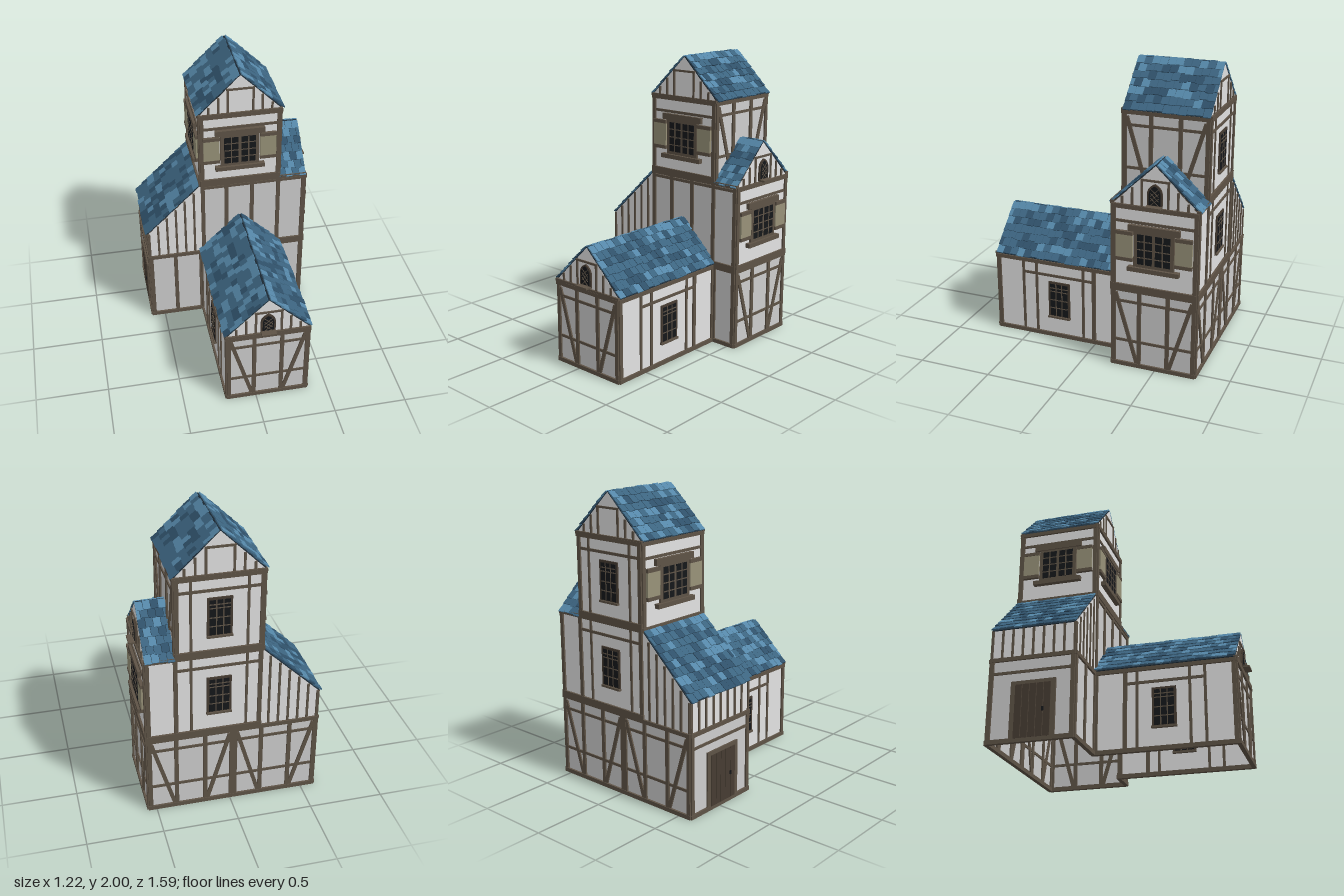
import * as THREE from 'three';
import { mergeGeometries } from 'three/addons/utils/BufferGeometryUtils.js';

const mat = (name, color, side = THREE.FrontSide) => {
  const m = new THREE.MeshStandardMaterial({ color, side });
  m.name = name;
  return m;
};

export function createModel() {
  const root = new THREE.Group();
  root.name = 'timberHouse';
  const plaster = mat('lightPlaster', 0xe2e2e2, THREE.DoubleSide);
  const grey = mat('greyPlaster', 0xcdcdcd, THREE.DoubleSide);
  const timber = mat('timber', 0x5e5346);
  const darkWood = mat('darkWood', 0x463c32);
  const shutterPaint = mat('shutterPaint', 0x989279);
  const glass = mat('darkGlass', 0x15171a);
  const slate = [mat('slateBlue', 0x3c6480), mat('slateLight', 0x5587a8), mat('slateDark', 0x2f5069)];
  const underlay = mat('roofUnderlay', 0x1f2f3c);

  let seed = 7;
  const rnd = () => (seed = (seed * 16807) % 2147483647) / 2147483647;

  // A face is a flat frame: x runs right along the wall, y up, z outward
  const face = (name, x, z, turn) => {
    const g = new THREE.Group();
    g.name = name;
    g.position.set(x, 0, z);
    g.rotation.y = turn * Math.PI / 2;
    root.add(g);
    return g;
  };
  const box = (g, name, m, u, y, w, h, d, z = 0, rot = 0) => {
    const b = new THREE.Mesh(new THREE.BoxGeometry(w, h, d), m);
    b.name = name;
    b.position.set(u, y, z);
    b.rotation.z = rot;
    g.add(b);
  };
  const beam = (g, u0, y0, u1, y1, w = 0.02, d = 0.016) =>
    box(g, 'beam', timber, (u0 + u1) / 2, (y0 + y1) / 2, Math.hypot(u1 - u0, y1 - y0), w, d, 0, Math.atan2(y1 - y0, u1 - u0));
  const poly = (g, name, m, pts) => {
    const p = new THREE.Mesh(new THREE.ShapeGeometry(new THREE.Shape(pts.map(q => new THREE.Vector2(...q)))), m);
    p.name = name;
    g.add(p);
  };

  // Plaster panel with corner posts, sill beam and top plate
  const wall = (g, m, u0, u1, y0, y1, posts = []) => {
    poly(g, 'wallPanel', m, [[u0, y0], [u1, y0], [u1, y1], [u0, y1]]);
    for (const u of [u0 + 0.012, u1 - 0.012, ...posts]) beam(g, u, y0, u, y1, 0.027, 0.022);
    beam(g, u0 - 0.005, y0 + 0.014, u1 + 0.005, y0 + 0.014, 0.028, 0.028);
    beam(g, u0 - 0.005, y1 - 0.012, u1 + 0.005, y1 - 0.012, 0.026, 0.028);
  };
  // Panel with two posts, two rails and outward leaning braces
  const braced = (g, u0, u1, y0, y1) => {
    const w = u1 - u0, h = y1 - y0, a = u0 + w * 0.33, b = u0 + w * 0.67;
    wall(g, grey, u0, u1, y0, y1, [a, b]);
    for (const t of [0.33, 0.83]) beam(g, u0, y0 + h * t, u1, y0 + h * t, 0.018);
    beam(g, u0 + 0.025, y1 - 0.04, a - 0.015, y0 + 0.03, 0.026, 0.02);
    beam(g, u1 - 0.025, y1 - 0.04, b + 0.015, y0 + 0.03, 0.026, 0.02);
  };
  // Triangular gable with studs and a collar beam
  const gable = (g, u0, u1, y0, peak) => {
    const c = (u0 + u1) / 2, half = (u1 - u0) / 2, h = peak - y0;
    poly(g, 'gablePanel', plaster, [[u0, y0], [u1, y0], [c, peak]]);
    for (const s of [-1, 1]) for (const t of [0.3, 0.52, 0.75])
      beam(g, c + s * half * t, y0, c + s * half * t, y0 + h * (1 - t) - 0.005, 0.015);
    beam(g, c - half * 0.33, y0 + h * 0.66, c + half * 0.33, y0 + h * 0.66, 0.014);
    beam(g, u0, y0 + 0.006, u1, y0 + 0.006, 0.018, 0.026);
  };
  // Narrow sash window with a small-paned transom
  const sash = (g, u, y) => {
    box(g, 'windowFrame', darkWood, u, y, 0.16, 0.27, 0.02);
    box(g, 'windowGlass', glass, u, y, 0.13, 0.24, 0.024);
    for (const s of [-1, 1]) box(g, 'glazingBar', timber, u + s * 0.022, y, 0.007, 0.24, 0.028);
    for (const k of [-0.06, 0, 0.065, 0.09]) box(g, 'glazingBar', timber, u, y + k, 0.13, 0.007, 0.028);
    box(g, 'windowSill', timber, u, y - 0.132, 0.165, 0.014, 0.04);
  };
  // Wide casement window with lintel, sill and open shutters
  const casement = (g, u, y) => {
    box(g, 'windowFrame', timber, u, y, 0.27, 0.26, 0.036);
    for (const s of [-1, 1]) {
      box(g, 'windowGlass', glass, u + s * 0.06, y, 0.1, 0.205, 0.04);
      box(g, 'glazingBar', timber, u + s * 0.06, y, 0.009, 0.205, 0.044);
      for (const k of [-0.055, 0, 0.055]) box(g, 'glazingBar', timber, u + s * 0.06, y + k, 0.1, 0.007, 0.044);
      box(g, 'shutter', shutterPaint, u + s * 0.198, y + 0.01, 0.112, 0.155, 0.016, 0.014);
      for (const k of [-1, 1]) box(g, 'shutterRail', timber, u + s * 0.198, y + 0.01 + k * 0.09, 0.115, 0.024, 0.022, 0.014);
    }
    box(g, 'lintel', timber, u, y + 0.14, 0.345, 0.042, 0.05);
    box(g, 'windowSill', timber, u, y - 0.138, 0.345, 0.03, 0.07);
  };
  // Pointed attic window with lattice and a ledge
  const arched = (g, u, y) => {
    const make = (name, m, w, h, d) => {
      const s = new THREE.Shape();
      s.moveTo(-w, 0).lineTo(w, 0).lineTo(w, h * 0.55);
      s.quadraticCurveTo(w, h * 0.85, 0, h).quadraticCurveTo(-w, h * 0.85, -w, h * 0.55);
      const p = new THREE.Mesh(new THREE.ExtrudeGeometry(s, { depth: d, bevelEnabled: false, curveSegments: 5 }), m);
      p.name = name;
      p.position.set(u, y + (0.075 - h / 2), -0.004);
      g.add(p);
    };
    make('archFrame', darkWood, 0.05, 0.15, 0.016);
    make('archGlass', glass, 0.038, 0.125, 0.019);
    for (const s of [-1, 1]) for (const k of [0.035, 0.065, 0.095])
      box(g, 'lattice', timber, u, y + k, 0.075, 0.004, 0.004, 0.016, s * 0.75);
    box(g, 'ledge', timber, u, y + 0.003, 0.1, 0.012, 0.055, 0.027);
  };

  // Front faces
  const mainFront = face('mainFront', 0, -0.2, 0);
  wall(mainFront, grey, -0.59, -0.2, 0, 0.57, [-0.4]);
  wall(mainFront, grey, 0.36, 0.55, 0, 0.57);
  wall(mainFront, grey, -0.2, 0.55, 0.57, 1.165, [-0.02, 0.165, 0.355]);
  wall(mainFront, plaster, -0.2, 0.36, 1.165, 1.705);
  beam(mainFront, -0.2, 1.6, 0.36, 1.6, 0.018);
  beam(mainFront, -0.2, 1.125, 0.55, 1.125, 0.02, 0.022);
  casement(mainFront, 0.075, 1.425);
  gable(mainFront, -0.21, 0.37, 1.7, 1.985);
  const wingFront = face('wingFront', 0, 0.74, 0);
  braced(wingFront, -0.2, 0.36, 0, 0.57);
  gable(wingFront, -0.21, 0.37, 0.57, 0.855);
  arched(wingFront, 0.075, 0.594);

  // Right faces
  const mainRight = face('mainRight', 0.55, 0, 1);
  braced(mainRight, 0.2, 0.77, 0, 0.57);
  wall(mainRight, plaster, 0.2, 0.77, 0.57, 1.145);
  beam(mainRight, 0.2, 1.035, 0.77, 1.035, 0.018);
  casement(mainRight, 0.485, 0.86);
  gable(mainRight, 0.195, 0.775, 1.135, 1.42);
  arched(mainRight, 0.485, 1.156);
  braced(face('towerRight', 0.36, 0, 1), 0.2, 0.77, 1.14, 1.705);

  // Wing sides, mirrored
  for (const s of [1, -1]) {
    const g = face(s > 0 ? 'wingRight' : 'wingLeft', s > 0 ? 0.36 : -0.2, 0, s);
    wall(g, plaster, Math.min(-0.74 * s, 0.2 * s), Math.max(-0.74 * s, 0.2 * s), 0, 0.57, [-0.01 * s]);
    for (const u of [-0.54, -0.44, -0.09]) beam(g, u * s, 0, u * s, 0.56, 0.018);
    beam(g, -0.54 * s, 0.465, -0.01 * s, 0.465, 0.018);
    sash(g, -0.27 * s, 0.285);
  }

  // Back faces
  const back = face('back', 0, -0.77, 2);
  braced(back, -0.55, 0.02, 0, 0.57);
  braced(back, 0.02, 0.59, 0, 0.57);
  wall(back, plaster, -0.55, 0.2, 0.57, 1.165, [-0.36]);
  wall(back, plaster, -0.36, 0.2, 1.165, 1.705);
  for (const [y0, y1] of [[0.57, 1.165], [1.165, 1.705]]) {
    for (const u of [-0.26, 0.1]) beam(back, u, y0, u, y1, 0.016);
    beam(back, -0.36, y1 - 0.1, 0.2, y1 - 0.1, 0.018);
    sash(back, -0.08, (y0 + y1) / 2 - 0.015);
  }
  gable(back, -0.37, 0.21, 1.7, 1.985);

  // Left faces
  const towerLeft = face('towerLeft', -0.2, 0, -1);
  wall(towerLeft, plaster, -0.77, -0.2, 1.14, 1.705);
  beam(towerLeft, -0.77, 1.6, -0.2, 1.6, 0.018);
  casement(towerLeft, -0.485, 1.425);
  const leanLeft = face('leanToLeft', -0.59, 0, -1);
  wall(leanLeft, grey, -0.77, -0.2, 0, 0.57);
  beam(leanLeft, -0.77, 0.465, -0.2, 0.465, 0.018);
  poly(leanLeft, 'upperPanel', plaster, [[-0.77, 0.57], [-0.2, 0.57], [-0.2, 0.77], [-0.77, 0.77]]);
  for (let i = 0; i < 9; i++) beam(leanLeft, -0.765 + i * 0.07, 0.57, -0.765 + i * 0.07, 0.77, 0.015);
  // Plank door
  box(leanLeft, 'doorFrame', timber, -0.47, 0.205, 0.3, 0.39, 0.024);
  for (let i = 0; i < 5; i++) box(leanLeft, 'doorPlank', darkWood, -0.566 + i * 0.048, 0.2, 0.044, 0.35, 0.032);
  box(leanLeft, 'doorHandle', glass, -0.4, 0.2, 0.014, 0.025, 0.045);

  // Lean-to sloping ends, front and back
  for (const [g, s] of [[mainFront, 1], [back, -1]]) {
    poly(g, 'leanToPanel', plaster, [[-0.59 * s, 0.57], [-0.2 * s, 0.57], [-0.2 * s, 1.145], [-0.59 * s, 0.77]]);
    for (let i = 0; i < 6; i++) {
      const x = -0.583 + i * 0.066;
      beam(g, x * s, 0.57, x * s, 0.765 + (x + 0.59) * 0.96, 0.015);
    }
  }

  // Shingled slope from eave corners a, b up to the ridge point above a
  const slope = (name, a, b, r, rows) => {
    const A = new THREE.Vector3(...a), X = new THREE.Vector3(...b).sub(A), Y = new THREE.Vector3(...r).sub(A);
    const L = X.length(), H = Y.length();
    X.normalize();
    Y.normalize();
    const g = new THREE.Group();
    g.name = name;
    g.applyMatrix4(new THREE.Matrix4().makeBasis(X, Y, X.clone().cross(Y)).setPosition(A));
    box(g, 'roofBoard', underlay, L / 2, H / 2, L - 0.01, H, 0.006);
    const sets = [[], [], []], n = Math.round(L / 0.052), step = H / rows;
    for (let i = 0; i < rows; i++) for (let j = 0; j < n + (i % 2); j++) {
      const w = L / n, odd = i % 2;
      const u0 = Math.max(0, (j - odd / 2) * w), u1 = Math.min(L, (j + 1 - odd / 2) * w);
      const h = step * (i === rows - 1 ? 1 : 1.15 + rnd() * 0.15), drop = (rnd() - 0.3) * 0.012;
      const t = new THREE.BoxGeometry(u1 - u0 - 0.003, h, 0.008);
      t.rotateX(-0.1);
      t.translate((u0 + u1) / 2, i * step + h / 2 - drop, 0.009 + rnd() * 0.003);
      const k = rnd() + (i === rows - 1 ? 0.2 : 0);
      sets[k > 0.78 ? 1 : k < 0.25 ? 2 : 0].push(t);
    }
    sets.forEach((s, i) => {
      if (!s.length) return;
      const m = new THREE.Mesh(mergeGeometries(s), slate[i]);
      m.name = 'shingles';
      g.add(m);
    });
    root.add(g);
  };
  // Tower and wing roofs, ridge along z
  for (const [name, z0, z1, y] of [['towerRoof', -0.775, -0.2, 1.705], ['wingRoof', -0.2, 0.742, 0.575]]) {
    slope(name + 'Right', [0.37, y, z1], [0.37, y, z0], [0.08, y + 0.283, z1], 7);
    slope(name + 'Left', [-0.21, y, z0], [-0.21, y, z1], [0.08, y + 0.283, z0], 7);
  }
  // Side gable roof, ridge along x
  slope('sideRoofFront', [0.36, 1.145, -0.195], [0.553, 1.145, -0.195], [0.36, 1.426, -0.485], 7);
  slope('sideRoofBack', [0.553, 1.145, -0.78], [0.36, 1.145, -0.78], [0.553, 1.426, -0.485], 7);
  // Lean-to roof
  slope('leanToRoof', [-0.598, 0.768, -0.775], [-0.598, 0.768, -0.2], [-0.2, 1.15, -0.775], 9);

  return root;
}
